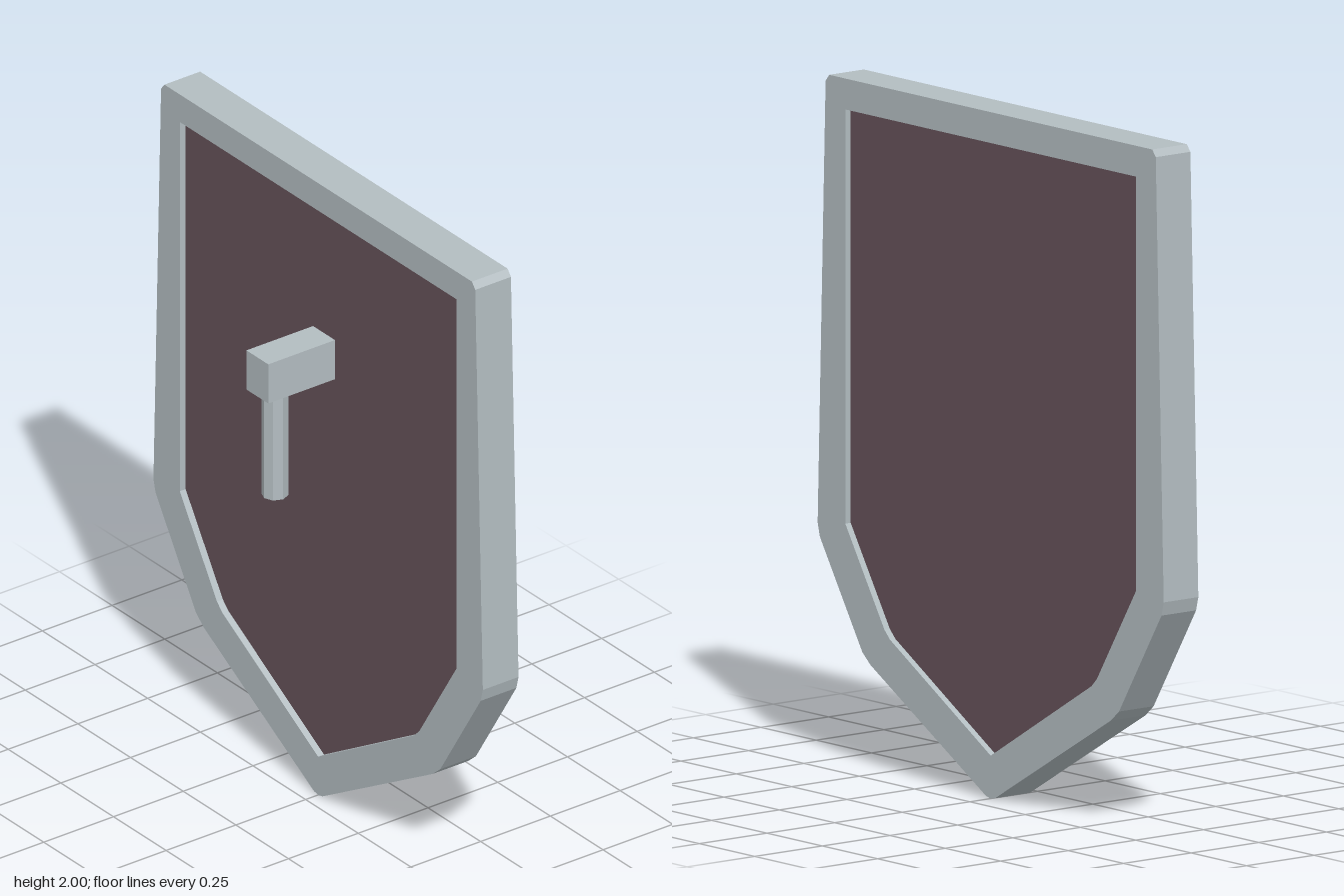
import * as THREE from 'three';

// Mirror the +x half of an outline (listed top to bottom) into a closed loop
function mirrored(half) {
  const left = half.filter(([x]) => x > 0).map(([x, y]) => [-x, y]);
  return [...left, ...half.slice().reverse()].map(([x, y]) => new THREE.Vector2(x, y));
}

function slab(shape, back, front) {
  const geometry = new THREE.ExtrudeGeometry(shape, { depth: front - back, bevelEnabled: false });
  return geometry.translate(0, 0, back);
}

export function createModel() {
  const steel = new THREE.MeshStandardMaterial({ color: 0xb3bdc1, flatShading: true });
  steel.name = 'pale steel';
  const maroon = new THREE.MeshStandardMaterial({ color: 0x665259, flatShading: true });
  maroon.name = 'dull maroon';

  const group = new THREE.Group();
  group.name = 'shield';
  const add = (name, geometry, material, x = 0, y = 0, z = 0) => {
    const mesh = new THREE.Mesh(geometry, material);
    mesh.name = name;
    mesh.position.set(x, y, z);
    group.add(mesh);
  };

  const outer = mirrored([
    [0.73, 2], [0.746, 1.98], [0.782, 0.688], [0.772, 0.648],
    [0.58, 0.34], [0.543, 0.308], [0.02, 0.004], [0, 0],
  ]);
  const inner = mirrored([
    [0.657, 1.91], [0.657, 0.703], [0.48, 0.42], [0.455, 0.395], [0, 0.125],
  ]);

  // Rim: chamfered outline with the panel opening cut out
  const rimShape = new THREE.Shape(outer);
  rimShape.holes.push(new THREE.Path(inner));
  add('rim', slab(rimShape, -0.173, -0.045), steel);

  // Panel: set back from the rim on both sides
  add('panel', slab(new THREE.Shape(inner), -0.153, -0.066), maroon);

  // Handle: arm out of the panel with an octagonal grip hanging below
  add('handleArm', new THREE.BoxGeometry(0.104, 0.128, 0.243), steel, 0, 1.439, 0.0515);
  add('handleGrip', new THREE.CylinderGeometry(0.039, 0.039, 0.34, 8), steel, 0, 1.205, 0.11);

  return group;
}
